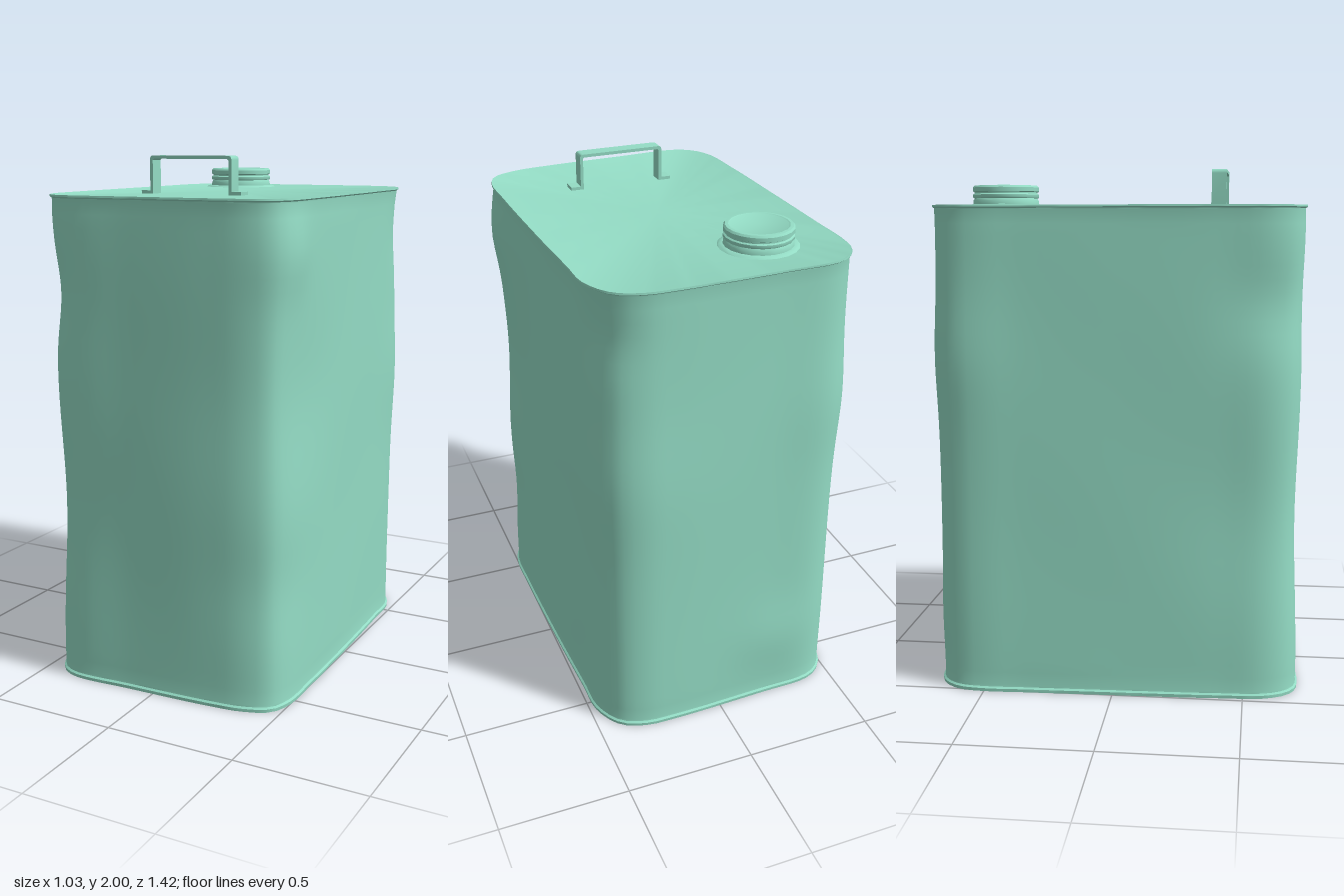
import * as THREE from 'three';
import { toCreasedNormals } from 'three/addons/utils/BufferGeometryUtils.js';

const paint = new THREE.MeshStandardMaterial({ color: 0x93dbc4, side: THREE.DoubleSide });

// Slightly skewed, round-cornered plan of the can, as [x, z]
const plan = [
  [-0.515, -0.5], [-0.5, -0.6], [-0.455, -0.66], [-0.39, -0.69], [-0.2, -0.698], [0.2, -0.71],
  [0.32, -0.703], [0.415, -0.66], [0.475, -0.55], [0.482, -0.4], [0.494, -0.1], [0.503, 0.35],
  [0.5, 0.54], [0.465, 0.625], [0.37, 0.67], [0.22, 0.688], [-0.1, 0.7], [-0.35, 0.705],
  [-0.42, 0.67], [-0.468, 0.585], [-0.485, 0.4], [-0.5, 0], [-0.51, -0.35],
];
const outline = new THREE.CatmullRomCurve3(plan.map(([x, z]) => new THREE.Vector3(x, 0, z)), true)
  .getSpacedPoints(112).slice(0, -1);

// Dents and bulges: [x, y, z, radius, outward amount]
const dents = [
  [0.5, 1.67, 0.55, 0.14, 0.022], [0.48, 1.15, 0.5, 0.3, -0.018], [0.46, 0.45, 0.6, 0.2, -0.015],
  [-0.46, 1.5, 0.62, 0.16, -0.025], [-0.46, 0.7, 0.62, 0.35, -0.02],
  [0.43, 1.68, -0.64, 0.13, -0.018], [0.43, 1.1, -0.64, 0.25, 0.016],
  [-0.48, 1.3, -0.63, 0.2, 0.012], [-0.23, 0.28, -0.7, 0.15, 0.014],
];

// Loft of rings [y, outward offset, scale, dented], outward offset in plan
function loft(rings) {
  const n = outline.length, pos = [], index = [];
  for (const [y, off, s, dented] of rings) {
    outline.forEach((p, i) => {
      const a = outline[(i + n - 1) % n], b = outline[(i + 1) % n];
      const nx = b.z - a.z, nz = a.x - b.x, len = Math.hypot(nx, nz);
      let d = off;
      if (dented) {
        d += 0.002 * Math.sin(5 * y + 4 * p.x) * Math.sin(6 * p.z + 2 * y);
        for (const [x, dy, z, r, k] of dents) {
          const q = ((p.x - x) ** 2 + (y - dy) ** 2 + (p.z - z) ** 2) / (r * r);
          d += k * Math.exp(-q);
        }
      }
      pos.push((p.x + nx / len * d) * s, y, (p.z + nz / len * d) * s);
    });
  }
  for (let j = 0; j < rings.length - 1; j++) {
    for (let i = 0; i < n; i++) {
      const k = (i + 1) % n, a = j * n + i, b = j * n + k;
      index.push(b, a, a + n, b, a + n, b + n);
    }
  }
  const g = new THREE.BufferGeometry();
  g.setAttribute('position', new THREE.Float32BufferAttribute(pos, 3));
  g.setIndex(index);
  return g;
}

function addMesh(parent, name, geometry, crease = 0.6) {
  const mesh = new THREE.Mesh(toCreasedNormals(geometry, crease), paint);
  mesh.name = name;
  parent.add(mesh);
  return mesh;
}

export function createModel() {
  const model = new THREE.Group();
  model.name = 'metalCan';

  // Body with thin folded seams at the bottom and top
  const rings = [[0.004, 0, 0, false], [0.004, -0.004, 1, false], [0, 0, 1, false], [0.012, 0.001, 1, false],
    [0.018, -0.006, 1, false]];
  for (let i = 0; i <= 36; i++) rings.push([0.025 + 1.82 * i / 36, -0.007, 1, i > 0 && i < 36]);
  rings.push([1.85, -0.006, 1, false], [1.855, 0.001, 1, false], [1.862, 0, 1, false],
    [1.86, -0.006, 1, false], [1.86, 0, 0, false]);
  addMesh(model, 'body', loft(rings));

  // Screw cap on its collar
  const cap = new THREE.Group();
  cap.name = 'cap';
  cap.position.set(-0.212, 1.86, -0.444);
  model.add(cap);
  const lathe = (pts) => new THREE.LatheGeometry(pts.map(([r, y]) => new THREE.Vector2(r, y)), 20);
  addMesh(cap, 'collar', lathe([[0.148, 0], [0.142, 0.005], [0.128, 0.007], [0.126, 0.022], [0.12, 0.03], [0.12, 0.04]]));
  addMesh(cap, 'lid', lathe([[0.116, 0.028], [0.126, 0.03], [0.128, 0.034], [0.128, 0.043], [0.122, 0.047],
    [0.122, 0.052], [0.128, 0.055], [0.128, 0.07], [0.122, 0.077], [0.11, 0.078], [0.107, 0.076], [0, 0.076]]));

  // Bent strap handle with flat feet
  const t = 0.012, L = -0.155, R = 0.187, H = 0.14, c = 0.015;
  const strap = new THREE.Shape();
  strap.moveTo(-0.193, 0);
  strap.lineTo(L + t, 0);
  strap.lineTo(L + t, H - t - 0.005);
  strap.lineTo(L + t + 0.005, H - t);
  strap.lineTo(R - t - 0.005, H - t);
  strap.lineTo(R - t, H - t - 0.005);
  strap.lineTo(R - t, 0);
  strap.lineTo(0.226, 0);
  strap.lineTo(0.226, t);
  strap.lineTo(R, t);
  strap.lineTo(R, H - c);
  strap.quadraticCurveTo(R, H, R - c, H);
  strap.lineTo(L + c, H);
  strap.quadraticCurveTo(L, H, L, H - c);
  strap.lineTo(L, t);
  strap.lineTo(-0.193, t);
  strap.closePath();
  const handle = addMesh(model, 'handle',
    new THREE.ExtrudeGeometry(strap, { depth: 0.057, bevelEnabled: false, curveSegments: 4 }));
  handle.position.set(0, 1.86, 0.348);

  return model;
}
